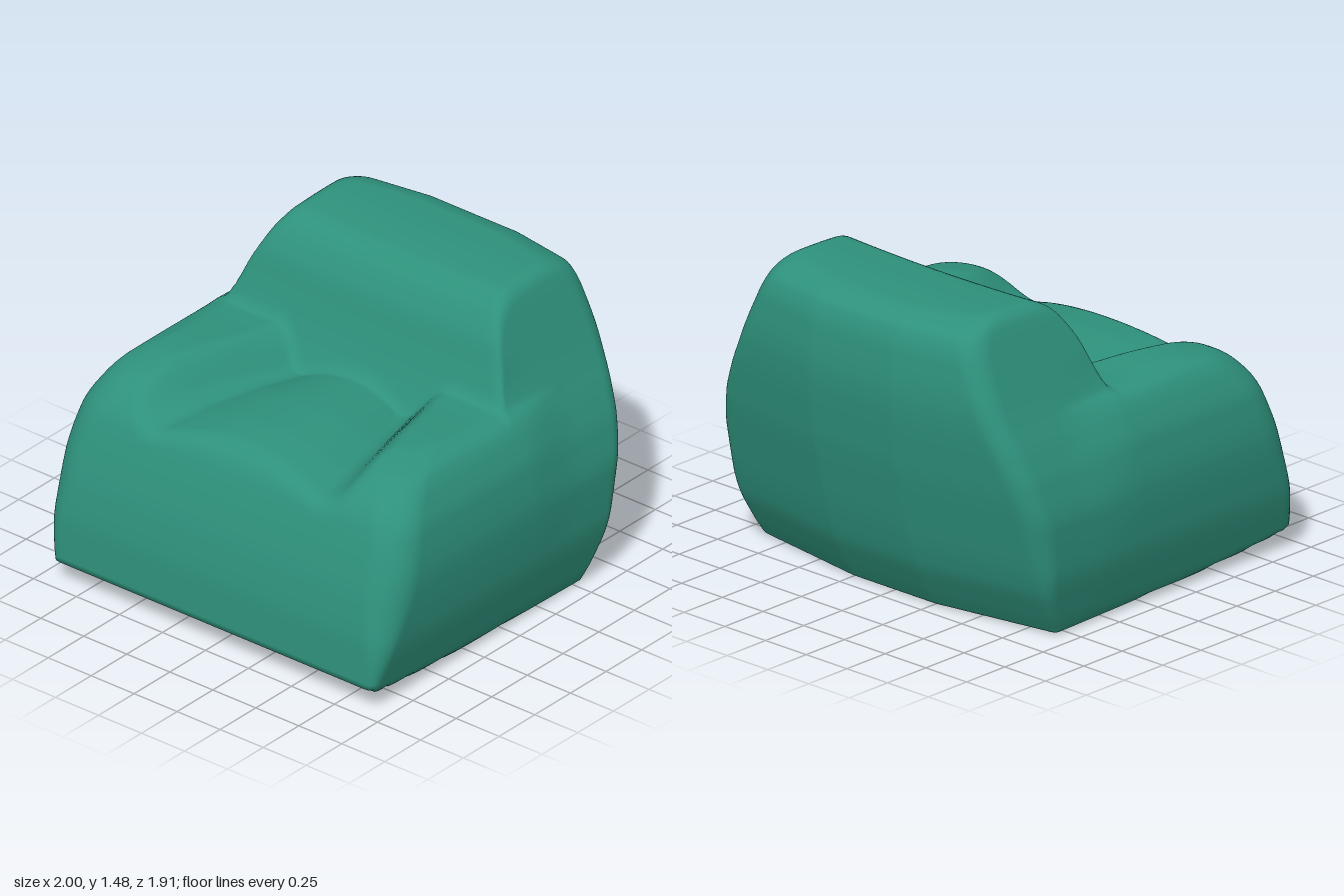
import * as THREE from 'three';
import { mergeVertices } from 'three/addons/utils/BufferGeometryUtils.js';

const { smoothstep, lerp } = THREE.MathUtils;

// Smooth curve through a few [input, value] pairs (monotone cubic)
function profile(points) {
  const n = points.length;
  const slope = i => (points[i + 1][1] - points[i][1]) / (points[i + 1][0] - points[i][0]);
  const tangents = points.map((p, i) => {
    if (i === 0) return slope(0);
    if (i === n - 1) return slope(n - 2);
    const a = slope(i - 1), b = slope(i);
    return a * b <= 0 ? 0 : (2 * a * b) / (a + b);
  });
  return v => {
    if (v <= points[0][0]) return points[0][1];
    if (v >= points[n - 1][0]) return points[n - 1][1];
    let i = 0;
    while (v > points[i + 1][0]) i++;
    const h = points[i + 1][0] - points[i][0], t = (v - points[i][0]) / h, s = 1 - t;
    return s * s * (1 + 2 * t) * points[i][1] + t * t * (3 - 2 * t) * points[i + 1][1]
      + h * t * s * (s * tangents[i] - t * tangents[i + 1]);
  };
}

// Intersection of two solids with a rounded edge of radius r
function roundMax(a, b, r) {
  a += r; b += r;
  return Math.min(Math.max(a, b), 0) + Math.hypot(Math.max(a, 0), Math.max(b, 0)) - r;
}

// Soft union of two heights
function softMax(a, b, k) {
  const h = Math.max(k - Math.abs(a - b), 0);
  return Math.max(a, b) + h * h / (4 * k);
}

// Outline by height: half width at the arms and at the backrest, front face and back face
const armHalfWidth = profile([[0, 0.9], [0.1, 0.93], [0.35, 0.985], [0.58, 1], [0.8, 0.97], [0.93, 0.915],
  [1.0, 0.865], [1.04, 0.81], [1.25, 0.72], [1.42, 0.645], [1.52, 0.59]]);
const backHalfWidth = profile([[0, 0.9], [0.1, 0.93], [0.35, 0.98], [0.55, 0.985], [0.75, 0.945], [0.9, 0.885],
  [1.04, 0.815], [1.25, 0.72], [1.42, 0.645], [1.52, 0.59]]);
const frontFace = profile([[0, 0.96], [0.1, 0.955], [0.3, 0.945], [0.5, 0.91], [0.7, 0.85], [0.85, 0.79],
  [0.95, 0.71], [1.0, 0.64], [1.05, 0.48], [1.5, 0.3]]);
const backFace = profile([[0, -0.66], [0.1, -0.72], [0.25, -0.795], [0.55, -0.875], [0.8, -0.925],
  [1.1, -0.955], [1.3, -0.935], [1.4, -0.9], [1.46, -0.82], [1.52, -0.68]]);

// Heights by depth: underside, backrest, arms and seat cushion
const underside = profile([[-0.66, 0], [-0.3, 0.01], [0.2, 0.025], [0.7, 0.06], [0.95, 0.092]]);
const backrest = profile([[-0.9, 1.455], [-0.6, 1.47], [-0.4, 1.46], [-0.3, 1.415], [-0.21, 1.29],
  [-0.16, 1.15], [-0.11, 1.02], [-0.04, 0.87], [0.03, 0.7], [0.2, 0.1]]);
const armTop = profile([[-0.3, 1.03], [0, 1.03], [0.3, 1.045], [0.5, 1.04], [0.65, 1.01], [0.95, 0.9]]);
const seatTop = profile([[-0.1, 0.925], [0.05, 0.935], [0.3, 0.95], [0.5, 0.95], [0.65, 0.94], [0.9, 0.91]]);
const seatHalfWidth = profile([[-0.1, 0.27], [0, 0.3], [0.25, 0.37], [0.5, 0.43], [0.75, 0.48]]);

function topHeight(x, z) {
  const ax = Math.abs(x), c = seatHalfWidth(z);
  const crown = seatTop(z) - 0.075 * Math.min(ax / c, 1.2) ** 2;
  const seat = lerp(crown, armTop(z), smoothstep(ax, c - 0.04, c + 0.23));
  return softMax(seat, backrest(z) + 0.04 * x * x, 0.07);
}

// Negative inside the upholstered body, positive outside
function body(x, y, z) {
  const ax = Math.abs(x), rise = smoothstep(y, 0, 0.6);
  const side = ax - lerp(backHalfWidth(y), armHalfWidth(y), smoothstep(z, -0.5, -0.1));
  const back = backFace(y) + 0.16 * Math.max(ax - 0.25, 0) - z;
  const front = z - frontFace(y);
  const rear = roundMax(side, back, lerp(0.03, 0.1, rise));
  const walls = roundMax(rear, front, lerp(0.03, 0.17, rise));
  const capped = roundMax(walls, y - topHeight(x, z), 0.05);
  return roundMax(capped, underside(z) - y, 0.015);
}

// Push every vertex of a box outward from a core point until it meets the body surface
function createBodyGeometry() {
  const box = new THREE.BoxGeometry(1.9, 1.35, 1.7, 110, 60, 110);
  box.deleteAttribute('uv');
  box.deleteAttribute('normal');
  const geometry = mergeVertices(box, 1e-4);
  const core = new THREE.Vector3(0, 0.22, -0.3);
  const position = geometry.attributes.position;
  const dir = new THREE.Vector3(), p = new THREE.Vector3();
  for (let i = 0; i < position.count; i++) {
    dir.fromBufferAttribute(position, i);
    dir.y += 0.68;
    dir.sub(core).normalize();
    let near = 0, far = 2.5;
    for (let step = 0; step < 26; step++) {
      const mid = (near + far) / 2;
      p.copy(core).addScaledVector(dir, mid);
      if (body(p.x, p.y, p.z) < 0) near = mid; else far = mid;
    }
    p.copy(core).addScaledVector(dir, near);
    position.setXYZ(i, p.x, p.y, p.z);
  }
  geometry.computeVertexNormals();
  return geometry;
}

export function createModel() {
  const group = new THREE.Group();
  group.name = 'armchair';
  const greenFabric = new THREE.MeshStandardMaterial({ color: 0x2e917b });
  greenFabric.name = 'green fabric';

  // One continuous cushion: seat, arms and backrest
  const upholstery = new THREE.Mesh(createBodyGeometry(), greenFabric);
  upholstery.name = 'upholsteredBody';
  group.add(upholstery);
  return group;
}
